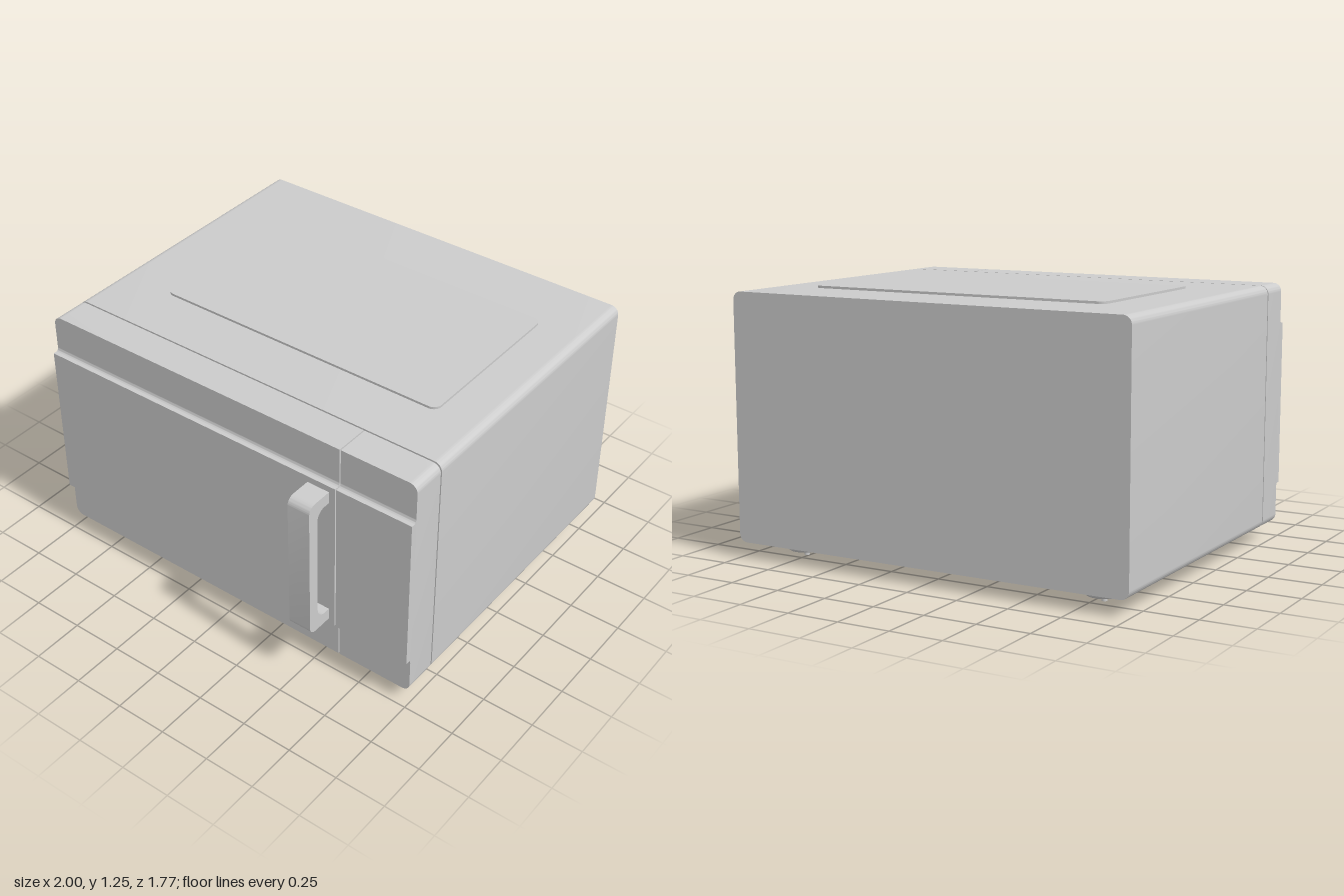
import * as THREE from 'three';
import { toCreasedNormals } from 'three/addons/utils/BufferGeometryUtils.js';

const material = new THREE.MeshStandardMaterial({ color: 0xcccccc });

function addPart(parent, name, geometry) {
  const mesh = new THREE.Mesh(geometry, material);
  mesh.name = name;
  parent.add(mesh);
  return mesh;
}

// Rectangle outline with separate corner radii for its low-x and high-x sides
function roundedRect(x0, y0, x1, y1, rLeft, rRight = rLeft, target = new THREE.Shape()) {
  target.moveTo(x0 + rLeft, y0);
  target.lineTo(x1 - rRight, y0);
  if (rRight) target.absarc(x1 - rRight, y0 + rRight, rRight, -Math.PI / 2, 0);
  target.lineTo(x1, y1 - rRight);
  if (rRight) target.absarc(x1 - rRight, y1 - rRight, rRight, 0, Math.PI / 2);
  target.lineTo(x0 + rLeft, y1);
  if (rLeft) target.absarc(x0 + rLeft, y1 - rLeft, rLeft, Math.PI / 2, Math.PI);
  target.lineTo(x0, y0 + rLeft);
  if (rLeft) target.absarc(x0 + rLeft, y0 + rLeft, rLeft, Math.PI, Math.PI * 1.5);
  return target;
}

function extrude(shape, depth) {
  const g = new THREE.ExtrudeGeometry(shape, { depth, bevelEnabled: false, curveSegments: 8 });
  return toCreasedNormals(g, 0.6);
}

// Shape in (x, y) swept from z0 to z1
const alongZ = (shape, z0, z1) => extrude(shape, z1 - z0).translate(0, 0, z0);
// Shape in (z, y) swept from x0 to x1
const alongX = (shape, x0, x1) => extrude(shape, x1 - x0).rotateY(-Math.PI / 2).translate(x1, 0, 0);
// Shape in (x, z) swept from y0 to y1
const alongY = (shape, y0, y1) => extrude(shape, y1 - y0).rotateX(Math.PI / 2).translate(0, y1, 0);

const BOTTOM = 0.075, TOP = 1.235, CORNER = 0.04;

// Front section: flat slab plus a raised band with small coved edges
function frontSection(name, x0, x1, rLeft, rRight) {
  const group = new THREE.Group();
  group.name = name;
  addPart(group, name + 'Slab', alongZ(roundedRect(x0, BOTTOM, x1, TOP, rLeft, rRight), 0.556, 0.72));
  const band = new THREE.Shape();
  band.moveTo(0.72, 0.25);
  band.quadraticCurveTo(0.722, 0.267, 0.735, 0.267);
  band.lineTo(0.75, 0.267);
  band.lineTo(0.75, 1.045);
  band.lineTo(0.735, 1.045);
  band.quadraticCurveTo(0.722, 1.045, 0.72, 1.062);
  addPart(group, name + 'RaisedBand', alongX(band, x0, x1));
  return group;
}

export function createModel() {
  const model = new THREE.Group();
  model.name = 'microwaveOven';

  // Main housing, with a recessed core behind the seams
  addPart(model, 'housing', alongZ(roundedRect(-1, BOTTOM, 1, TOP, CORNER), -0.885, 0.548));
  addPart(model, 'seamCore', alongZ(roundedRect(-0.99, BOTTOM + 0.01, 0.99, TOP - 0.01, CORNER), 0.54, 0.71));

  // Door and control panel
  model.add(frontSection('door', -1, 0.614, CORNER, 0));
  model.add(frontSection('controlPanel', 0.62, 1, 0, CORNER));

  // Door handle: a flat bracket with rounded bends
  const handle = new THREE.Shape();
  handle.moveTo(0.74, 0.295);
  handle.lineTo(0.845, 0.295);
  handle.absarc(0.845, 0.335, 0.04, -Math.PI / 2, 0);
  handle.lineTo(0.885, 0.975);
  handle.absarc(0.845, 0.975, 0.04, 0, Math.PI / 2);
  handle.lineTo(0.74, 1.015);
  handle.lineTo(0.74, 0.957);
  handle.lineTo(0.78, 0.957);
  handle.absarc(0.78, 0.907, 0.05, Math.PI / 2, 0, true);
  handle.lineTo(0.83, 0.403);
  handle.absarc(0.78, 0.403, 0.05, 0, -Math.PI / 2, true);
  handle.lineTo(0.74, 0.353);
  addPart(model, 'handle', alongX(handle, 0.47, 0.583));

  // Raised plate on top
  addPart(model, 'topPlate', alongY(roundedRect(-0.72, -0.57, 0.78, 0.27, 0.04), TOP - 0.01, 1.246));

  // Base plate with a shallow rim
  addPart(model, 'basePlate', alongY(roundedRect(-0.9, -0.82, 0.89, 0.48, 0.07), 0.064, 0.085));
  const rim = roundedRect(-0.93, -0.85, 0.92, 0.51, 0.09);
  rim.holes.push(roundedRect(-0.9, -0.82, 0.89, 0.48, 0.07, 0.07, new THREE.Path()));
  addPart(model, 'baseRim', alongY(rim, 0.068, 0.085));

  // Four round feet, each with a small centre pin
  const footProfile = [
    [0, 0.024], [0.06, 0.024], [0.078, 0.028], [0.09, 0.038], [0.095, 0.05], [0.095, 0.07],
  ].map(([r, y]) => new THREE.Vector2(r, y));
  const footGeometry = toCreasedNormals(new THREE.LatheGeometry(footProfile, 32), 0.6);
  const pinGeometry = new THREE.CylinderGeometry(0.013, 0.013, 0.03, 16).translate(0, 0.015, 0);
  for (const x of [-0.79, 0.765]) {
    for (const z of [-0.69, 0.355]) {
      const foot = new THREE.Group();
      foot.name = 'foot';
      foot.position.set(x, 0, z);
      addPart(foot, 'footPad', footGeometry);
      addPart(foot, 'footPin', pinGeometry);
      model.add(foot);
    }
  }
  return model;
}
